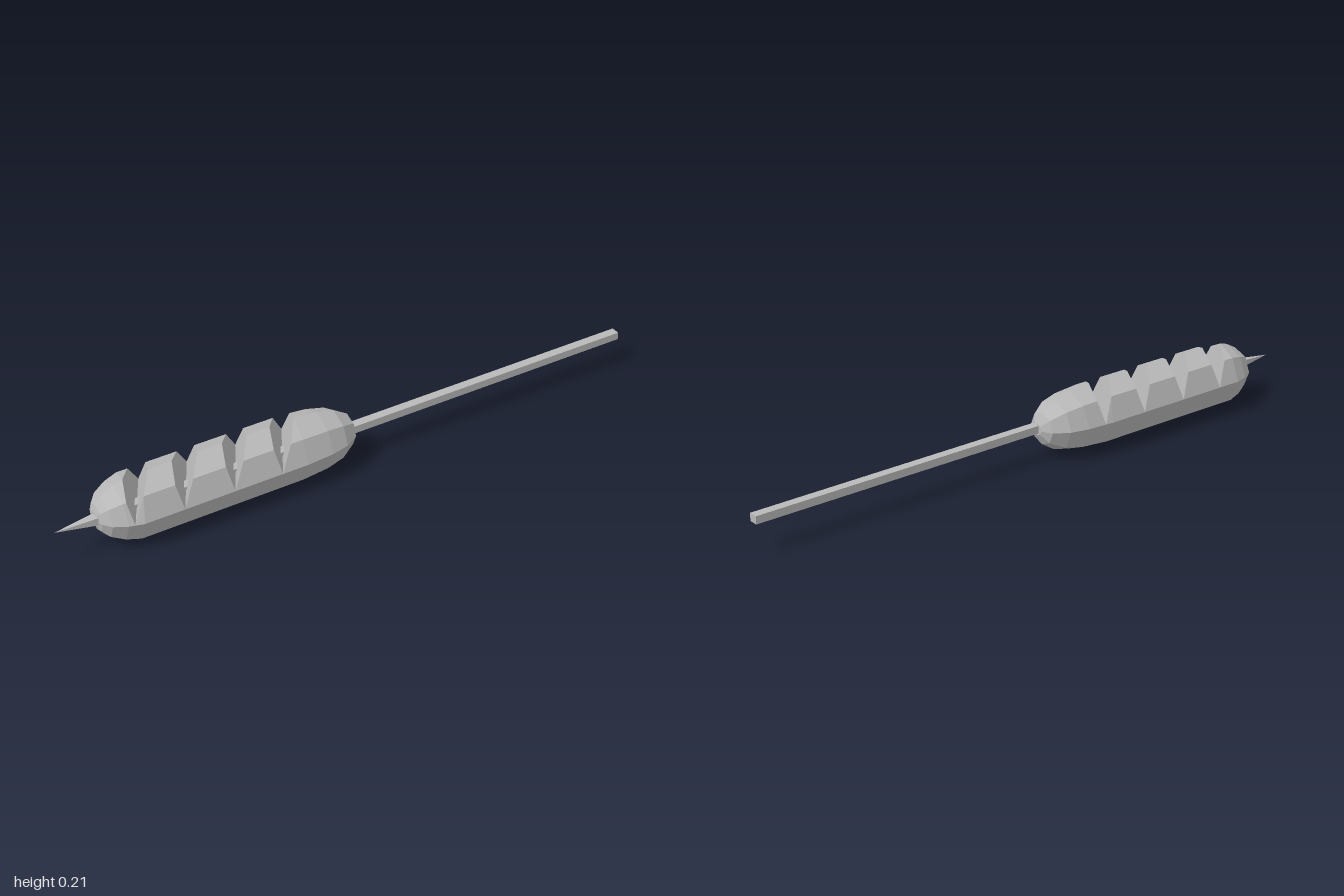
import * as THREE from 'three';
import { ConvexGeometry } from 'three/addons/geometries/ConvexGeometry.js';

const AXIS_Y = 0.103; // height of the long axis
const SLANT = -0.55;  // how far a groove moves in x per unit of z
const SPREAD = 0.4;   // half width of a groove per unit of height
const GROOVES = [-0.735, -0.575, -0.41, -0.25];

// Body profile along x: [x, radius]
const PROFILE = [
  [-0.872, 0.022], [-0.865, 0.043], [-0.845, 0.068], [-0.805, 0.09], [-0.76, 0.103],
  [-0.22, 0.103], [-0.13, 0.096], [-0.07, 0.082], [-0.022, 0.052], [-0.005, 0.018],
];

function radiusAt(x) {
  for (let i = 1; i < PROFILE.length; i++) {
    const [x0, r0] = PROFILE[i - 1], [x1, r1] = PROFILE[i];
    if (x <= x1) return THREE.MathUtils.lerp(r0, r1, THREE.MathUtils.clamp((x - x0) / (x1 - x0), 0, 1));
  }
  return PROFILE[PROFILE.length - 1][1];
}

// Point on the eight-sided body
function bodyPoint(x, angle, r = radiusAt(x)) {
  return new THREE.Vector3(x, AXIS_Y + r * Math.sin(angle), r * Math.cos(angle));
}

// Where a lengthwise edge meets a sloping groove wall (side -1 or +1)
function wallX(center, side, angle) {
  let x = center;
  for (let i = 0; i < 40; i++) {
    const r = radiusAt(x);
    const target = center + r * (SLANT * Math.cos(angle) + side * SPREAD * Math.sin(angle));
    x = (x + target) / 2;
  }
  return x;
}

// One convex block of the upper half, between two grooves or a groove and an end
function upperBlock(before, after) {
  const points = [];
  for (let i = 0; i <= 4; i++) {
    const a = i * Math.PI / 4;
    const start = before === undefined ? -Infinity : wallX(before, 1, a);
    const end = after === undefined ? Infinity : wallX(after, -1, a);
    if (isFinite(start)) points.push(bodyPoint(start, a));
    if (isFinite(end)) points.push(bodyPoint(end, a));
    for (const [x, r] of PROFILE) if (x > start && x < end) points.push(bodyPoint(x, a, r));
  }
  return new ConvexGeometry(points);
}

export function createModel() {
  const model = new THREE.Group();
  const gray = new THREE.MeshStandardMaterial({ color: 0xb8b8b8, flatShading: true });
  gray.name = 'plain gray';

  function add(name, geometry, parent = model) {
    const mesh = new THREE.Mesh(geometry, gray);
    mesh.name = name;
    parent.add(mesh);
    return mesh;
  }

  const sausage = new THREE.Group();
  sausage.name = 'sausage';
  model.add(sausage);

  // Uncut lower half
  const lower = [];
  for (let i = 4; i <= 8; i++) {
    for (const [x, r] of PROFILE) lower.push(bodyPoint(x, i * Math.PI / 4, r));
  }
  add('lowerHalf', new ConvexGeometry(lower), sausage);

  // Upper half, split by the slanted V grooves
  for (let i = 0; i <= GROOVES.length; i++) {
    add('upperBlock' + (i + 1), upperBlock(GROOVES[i - 1], GROOVES[i]), sausage);
  }

  // Square stick with a sharpened tip
  const stick = add('stick', new THREE.BoxGeometry(1.87, 0.025, 0.03));
  stick.position.set(0.065, 0.105, 0.011);

  const tip = [new THREE.Vector3(-1, 0.106, 0.007)];
  for (const dy of [-0.0125, 0.0125]) {
    for (const dz of [-0.015, 0.015]) tip.push(new THREE.Vector3(-0.87, 0.105 + dy, 0.011 + dz));
  }
  add('stickTip', new ConvexGeometry(tip));

  return model;
}
